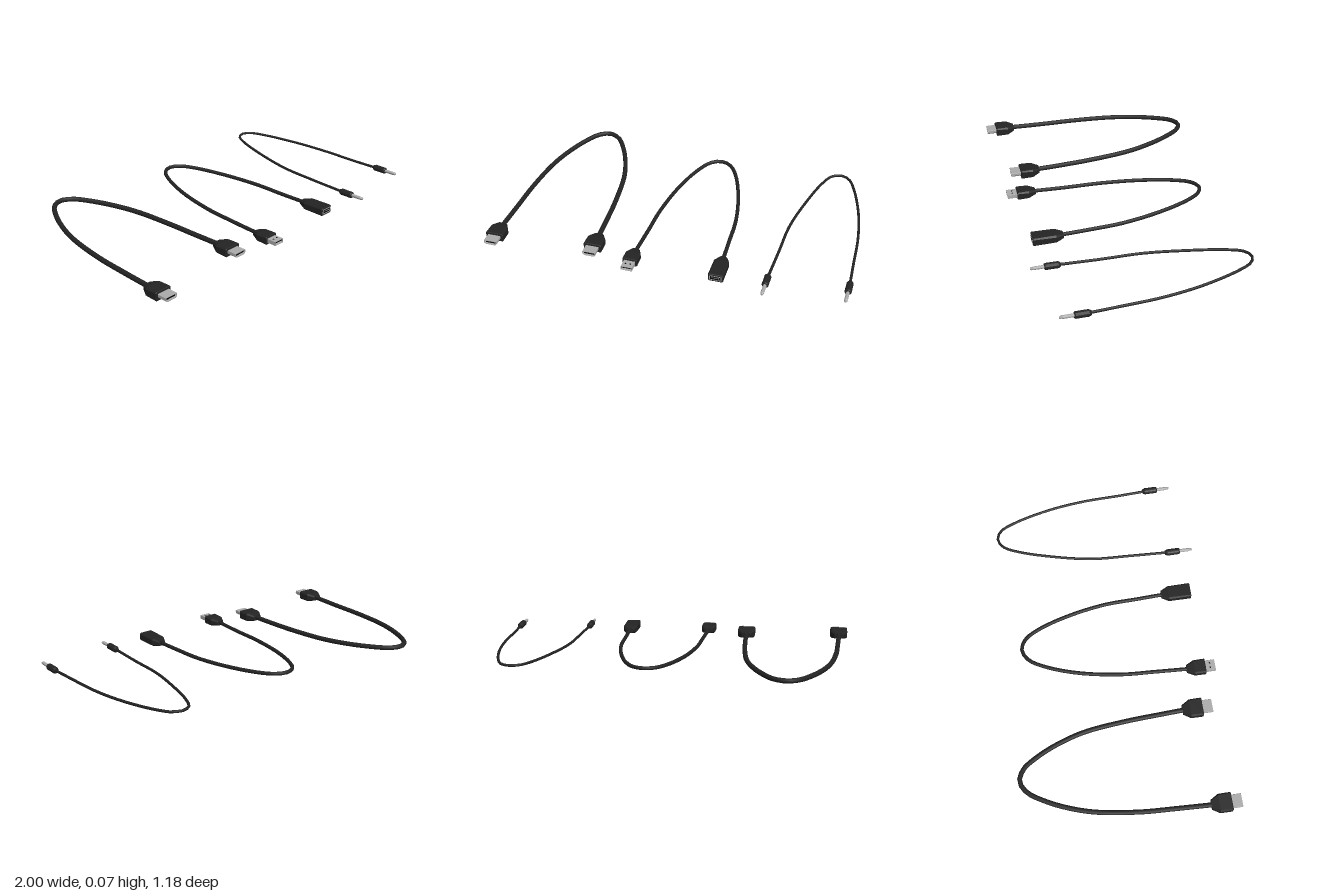
import * as THREE from 'three';

const rubber = new THREE.MeshStandardMaterial({ color: 0x242424 });
rubber.name = 'blackRubber';
const metal = new THREE.MeshStandardMaterial({ color: 0xacacac });
metal.name = 'plainMetal';
const dark = new THREE.MeshStandardMaterial({ color: 0x0c0c0c });
dark.name = 'socketBlack';

const Y = 0.03; // height of the plug axes

function add(parent, name, geometry, material, x = 0, y = 0, z = 0) {
  const mesh = new THREE.Mesh(geometry, material);
  mesh.name = name;
  mesh.position.set(x, y, z);
  parent.add(mesh);
  return mesh;
}

// Rectangle with cut corners, anticlockwise; bottomCut > topCut gives a keyed plug
function cutRect(w, h, topCut, bottomCut = topCut) {
  const a = w / 2, b = h / 2, t = topCut, c = bottomCut;
  return [[a, -b + c], [a, b - t], [a - t, b], [-a + t, b],
    [-a, b - t], [-a, -b + c], [-a + c, -b], [a - c, -b]].map(p => new THREE.Vector2(...p));
}

// Flat-faced body through stations [z, width, height, cornerCut], from back to front
function loft(stations) {
  const rings = stations.map(([z, w, h, c]) => cutRect(w, h, c).map(p => [p.x, p.y, z]));
  const pos = [], n = 8;
  const tri = (...pts) => pts.forEach(p => pos.push(...p));
  for (let s = 0; s + 1 < rings.length; s++) {
    for (let i = 0; i < n; i++) {
      const j = (i + 1) % n, A = rings[s], B = rings[s + 1];
      tri(A[i], A[j], B[j]);
      tri(A[i], B[j], B[i]);
    }
  }
  const back = rings[0], front = rings[rings.length - 1];
  for (let i = 1; i < n - 1; i++) {
    tri(back[0], back[i + 1], back[i]);
    tri(front[0], front[i], front[i + 1]);
  }
  const g = new THREE.BufferGeometry();
  g.setAttribute('position', new THREE.Float32BufferAttribute(pos, 3));
  g.computeVertexNormals();
  return g;
}

// Hollow sleeve with a thin wall
function sleeve(outer, inner, depth) {
  const shape = new THREE.Shape(outer);
  shape.holes.push(new THREE.Path(inner));
  return new THREE.ExtrudeGeometry(shape, { depth, bevelEnabled: false });
}

function plugGroup(name, x, z) {
  const g = new THREE.Group();
  g.name = name;
  g.position.set(x, Y, z);
  return g;
}

// Moulded grip whose front face is at z = 0
function grip(g, w, h, length) {
  add(g, 'grip', loft([
    [-length, w * 0.52, h * 0.6, 0.007],
    [-length + 0.042, w, h, 0.009],
    [-0.003, w, h, 0.006],
    [0, w - 0.006, h - 0.006, 0.005],
  ]), rubber);
}

// Wide video plug with a keyed metal sleeve
function videoPlug(x, z) {
  const g = plugGroup('videoPlug', x, z);
  grip(g, 0.1, 0.05, 0.112);
  add(g, 'metalSleeve', sleeve(cutRect(0.073, 0.025, 0.002, 0.009),
    cutRect(0.067, 0.019, 0.002, 0.008), 0.055), metal);
  add(g, 'contactBlock', new THREE.BoxGeometry(0.056, 0.008, 0.05), dark, 0, 0.001, 0.025);
  return g;
}

// Data plug with two latch windows above and below
function dataPlug(x, z) {
  const g = plugGroup('dataPlug', x, z);
  grip(g, 0.082, 0.046, 0.107);
  add(g, 'metalSleeve', sleeve(cutRect(0.062, 0.023, 0.001),
    cutRect(0.057, 0.018, 0.001), 0.055), metal);
  add(g, 'contactTongue', new THREE.BoxGeometry(0.056, 0.008, 0.051), dark, 0, 0.004, 0.0255);
  for (const sx of [-1, 1]) {
    for (const sy of [-1, 1]) {
      add(g, 'latchWindow', new THREE.BoxGeometry(0.009, 0.001, 0.008), dark, sx * 0.013, sy * 0.0116, 0.026);
    }
  }
  return g;
}

// Data socket: a longer grip with a metal-rimmed opening
function dataSocket(x, z) {
  const g = plugGroup('dataSocket', x, z);
  grip(g, 0.082, 0.046, 0.17);
  add(g, 'openingRim', sleeve(cutRect(0.066, 0.028, 0.001),
    cutRect(0.058, 0.02, 0.001), 0.001), metal);
  add(g, 'opening', new THREE.BoxGeometry(0.06, 0.022, 0.001), dark);
  add(g, 'tongue', new THREE.BoxGeometry(0.046, 0.006, 0.001), rubber, 0, 0.004, 0.0006);
  for (let i = 0; i < 4; i++) {
    add(g, 'contact', new THREE.BoxGeometry(0.006, 0.004, 0.001), metal, (i - 1.5) * 0.011, 0.001, 0.001);
  }
  return g;
}

// Round audio plug: turned grip and pin
function audioPlug(x, z) {
  const g = plugGroup('audioPlug', x, z);
  const turned = pts => {
    const lathe = new THREE.LatheGeometry(pts.map(p => new THREE.Vector2(...p)), 16)
      .rotateX(Math.PI / 2).toNonIndexed();
    lathe.computeVertexNormals();
    return lathe;
  };
  add(g, 'grip', turned([[0, -0.086], [0.012, -0.086], [0.0185, -0.074], [0.0185, -0.006],
    [0.015, 0], [0, 0]]), rubber);
  add(g, 'pin', turned([[0.0095, -0.002], [0.0095, 0.058], [0.007, 0.062], [0.009, 0.065],
    [0.005, 0.073], [0, 0.073]]), metal);
  return g;
}

// Arched cable; points are [x, z], and the height rises gently towards the bend
function cable(name, radius, points) {
  const zMin = Math.min(...points.map(p => p[1]));
  const path = new THREE.CatmullRomCurve3(points.map(([x, z]) => {
    const t = Math.max(0, (0.4 - z) / (0.4 - zMin));
    return new THREE.Vector3(x, Y + 0.034 * Math.pow(t, 1.7), z);
  }));
  const mesh = new THREE.Mesh(new THREE.TubeGeometry(path, 60, radius, 10), rubber);
  mesh.name = name;
  return mesh;
}

export function createModel() {
  const model = new THREE.Group();
  model.name = 'cableSet';

  const video = new THREE.Group();
  video.name = 'videoCable';
  video.add(videoPlug(-0.95, 0.535), videoPlug(-0.403, 0.475),
    cable('videoCord', 0.0135, [[-0.952, 0.45], [-0.942, 0.23], [-0.932, 0.04], [-0.9, -0.19],
      [-0.857, -0.335], [-0.8, -0.46], [-0.738, -0.55], [-0.675, -0.579], [-0.612, -0.55],
      [-0.55, -0.46], [-0.493, -0.335], [-0.45, -0.19], [-0.422, 0.04], [-0.411, 0.23], [-0.403, 0.4]]));

  const data = new THREE.Group();
  data.name = 'dataCable';
  data.add(dataPlug(-0.17, 0.535), dataSocket(0.3, 0.533),
    cable('dataCord', 0.0105, [[-0.171, 0.45], [-0.159, 0.24], [-0.148, 0.055], [-0.105, -0.185],
      [-0.042, -0.365], [0.01, -0.447], [0.07, -0.474], [0.13, -0.447], [0.182, -0.365],
      [0.243, -0.185], [0.284, 0.03], [0.293, 0.22], [0.3, 0.39]]));

  const audio = new THREE.Group();
  audio.name = 'audioCable';
  audio.add(audioPlug(0.56, 0.517), audioPlug(0.98, 0.452),
    cable('audioCord', 0.0075, [[0.56, 0.45], [0.571, 0.22], [0.582, 0], [0.624, -0.215],
      [0.683, -0.42], [0.727, -0.505], [0.777, -0.528], [0.827, -0.505], [0.871, -0.42],
      [0.93, -0.215], [0.962, 0], [0.972, 0.22], [0.98, 0.39]]));

  model.add(video, data, audio);
  return model;
}
